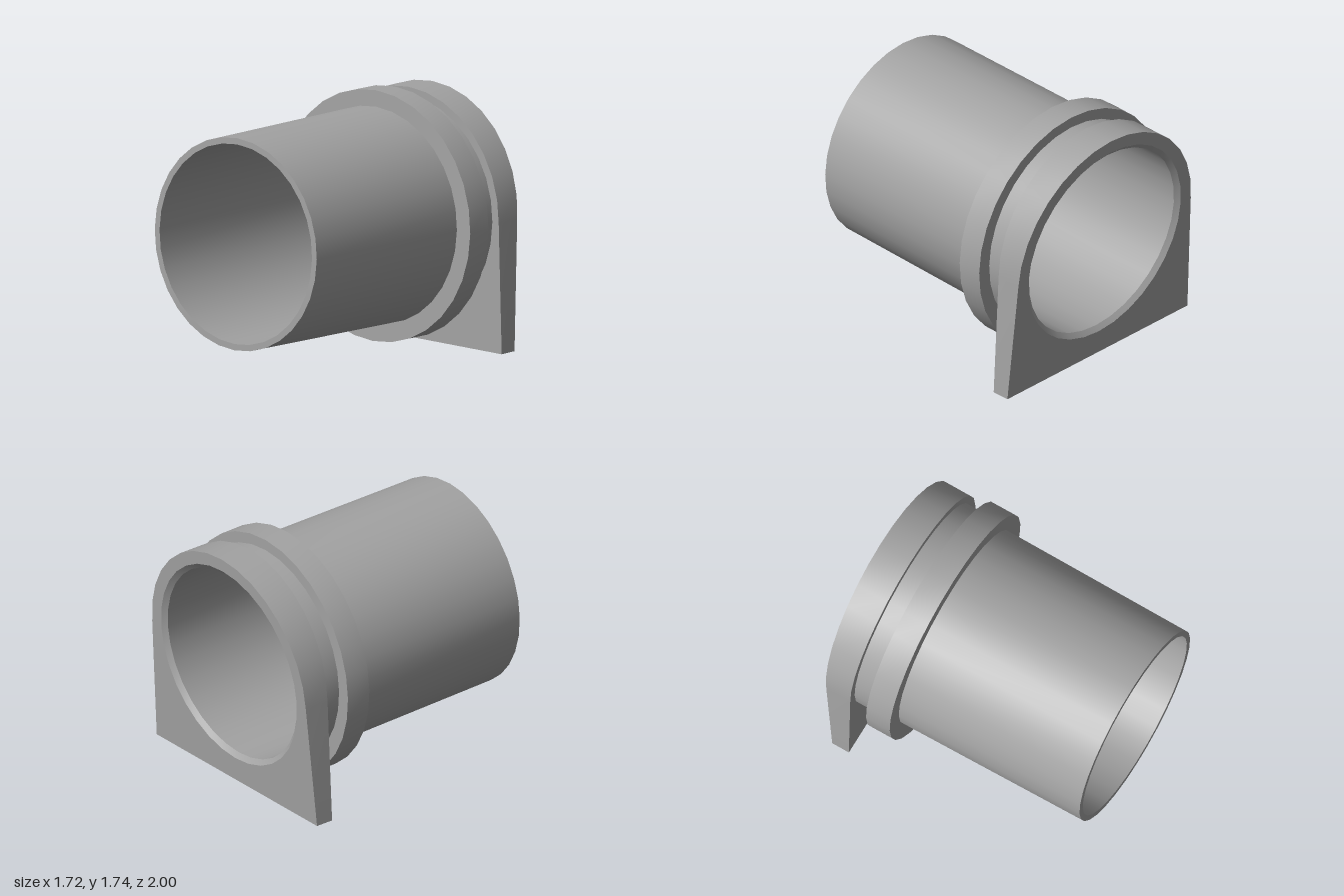
import * as THREE from 'three';
import { toCreasedNormals } from 'three/addons/utils/BufferGeometryUtils.js';

const SEGMENTS = 32;
const TILT = 0.02;          // the pipe drops slightly towards the back
const FRONT_Y = 0.9175;     // centre of the pipe's front rim
const FRONT_Z = 0.985;
const MOUTH_LIFT = 0.018;   // the bore drops a little less than the pipe
const frontFaceZ = (y) => -0.74 - 0.0117 * y;
const backFaceZ = (y) => -0.87 - 0.076 * y;

const material = new THREE.MeshStandardMaterial({ color: 0xa3a3a3 });

function makeMesh(name, geometry) {
  const mesh = new THREE.Mesh(toCreasedNormals(geometry, 0.5), material);
  mesh.name = name;
  return mesh;
}

// Turned part on the tilted axis; profile is [radius, distance behind the front rim]
function turned(profile) {
  const points = profile.map(([r, t]) => new THREE.Vector2(r, t));
  return new THREE.LatheGeometry(points, SEGMENTS)
    .rotateX(-Math.PI / 2 - TILT)
    .translate(0, FRONT_Y, FRONT_Z);
}

function circlePoints(radius, cy, start, end, steps) {
  return Array.from({ length: steps + 1 }, (_, i) => {
    const a = start + ((end - start) * i) / steps;
    return new THREE.Vector2(radius * Math.cos(a), cy + radius * Math.sin(a));
  });
}

// Slightly flared pipe with its bore; the bore ends in a chamfer that follows the slanted back face
function pipeGeometry() {
  const geometry = turned([
    [0.725, 1.95], [0.69, 1.9], [0.685, 0], [0.7275, 0], [0.74, 1.45],
  ]);
  const pos = geometry.attributes.position;
  for (let i = 0; i < pos.count; i++) {
    const ring = i % 5;
    if (ring > 1) continue;
    const y = pos.getY(i) + MOUTH_LIFT;
    pos.setY(i, y);
    pos.setZ(i, backFaceZ(y) + 0.03 * ring);
  }
  return geometry;
}

// Round-topped plate with a square foot, thicker at the top
function plateGeometry() {
  const shape = new THREE.Shape([
    new THREE.Vector2(-0.858, 0),
    new THREE.Vector2(0.858, 0),
    ...circlePoints(0.822, 0.891, 0, Math.PI, SEGMENTS / 2),
  ]);
  const hole = circlePoints(0.725, FRONT_Y - TILT * 1.95 + MOUTH_LIFT, 0, -2 * Math.PI, SEGMENTS);
  shape.holes.push(new THREE.Path(hole.slice(0, -1)));
  const geometry = new THREE.ExtrudeGeometry(shape, { depth: 1, bevelEnabled: false });
  const pos = geometry.attributes.position;
  for (let i = 0; i < pos.count; i++) {
    const y = pos.getY(i);
    pos.setZ(i, pos.getZ(i) > 0.5 ? frontFaceZ(y) : backFaceZ(y));
  }
  return geometry;
}

export function createModel() {
  const model = new THREE.Group();
  model.name = 'pipeFlange';
  model.add(
    makeMesh('pipe', pipeGeometry()),
    makeMesh('collar', turned([[0.71, 1.405], [0.86, 1.405], [0.86, 1.59], [0.71, 1.59]])
      .translate(0, -0.008, 0)),
    makeMesh('neck', turned([[0.765, 1.55], [0.765, 1.77]]).translate(0, 0.01, 0)),
    makeMesh('backPlate', plateGeometry()),
  );
  return model;
}
